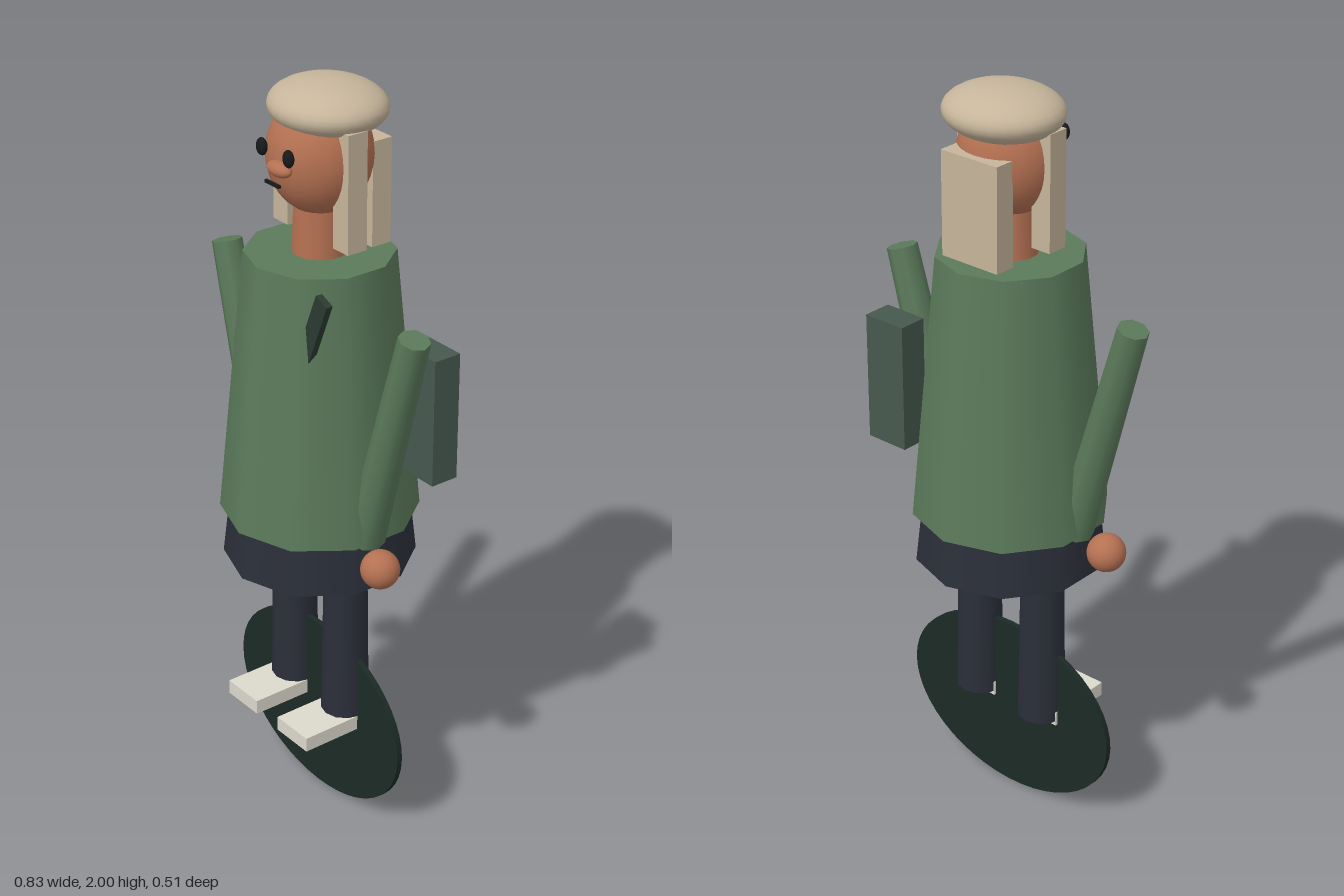
import * as THREE from 'three';

const paint = (color) => new THREE.MeshStandardMaterial({ color });
const JACKET = paint(0x5b7a5b), TROUSERS = paint(0x2b2f39), SKIN = paint(0xb57152);
const HAIR = paint(0xc6b59b), SHOE = paint(0xdcd9cc), STAND = paint(0x1c2a26);
const BAG = paint(0x46594f), DARK = paint(0x17191b), STRAP = paint(0x2b3a32);

export function createModel() {
  const model = new THREE.Group();
  model.name = 'figure';

  const add = (name, geometry, material, x, y, z) => {
    const mesh = new THREE.Mesh(geometry, material);
    mesh.name = name;
    mesh.position.set(x, y, z);
    model.add(mesh);
    return mesh;
  };
  const box = (name, mat, w, h, d, x, y, z) =>
    add(name, new THREE.BoxGeometry(w, h, d), mat, x, y, z);
  const ball = (name, mat, rx, ry, rz, x, y, z) =>
    add(name, new THREE.SphereGeometry(1, 28, 18).scale(rx, ry, rz), mat, x, y, z);
  // Upright tapered cylinder between two heights
  const taper = (name, mat, rTop, rBottom, y0, y1, sides, x = 0, z = 0) =>
    add(name, new THREE.CylinderGeometry(rTop, rBottom, y1 - y0, sides), mat, x, (y0 + y1) / 2, z);

  // Upright oval stand behind the feet
  const stand = add('stand', new THREE.CylinderGeometry(1, 1, 0.015, 48), STAND, 0, 0.253, 0);
  stand.rotation.x = Math.PI / 2;
  stand.scale.set(0.338, 1, 0.25);

  // Body
  taper('jacket', JACKET, 0.188, 0.255, 0.865, 1.57, 10);
  taper('hips', TROUSERS, 0.232, 0.248, 0.73, 0.87, 10);
  taper('neck', SKIN, 0.064, 0.071, 1.55, 1.72, 14);

  // Head, face and hat
  ball('head', SKIN, 0.132, 0.15, 0.13, 0, 1.82, 0);
  ball('hat', HAIR, 0.155, 0.066, 0.141, 0, 1.934, -0.024);
  ball('nose', SKIN, 0.041, 0.019, 0.022, 0.022, 1.816, 0.136);
  box('mouth', DARK, 0.055, 0.007, 0.008, 0.002, 1.774, 0.141);
  box('backHair', HAIR, 0.175, 0.27, 0.057, 0, 1.715, -0.12);

  // Mirrored parts
  for (const side of [1, -1]) {
    const tag = side > 0 ? 'left' : 'right';
    ball(tag + 'Eye', DARK, 0.017, 0.022, 0.012, side * 0.052, 1.849, 0.132);
    box(tag + 'Hair', HAIR, 0.057, 0.3, 0.057, side * 0.118, 1.76, 0.001);
    taper(tag + 'Leg', TROUSERS, 0.056, 0.064, 0.272, 0.76, 12, side * 0.108);
    box(tag + 'Shoe', SHOE, 0.125, 0.04, 0.19, side * 0.108, 0.28, 0.08);

    // Sleeve leaning outwards at the top
    const low = new THREE.Vector3(side * 0.203, 0.86, 0.012);
    const high = new THREE.Vector3(side * 0.374, 1.471, 0.01);
    const arm = add(tag + 'Arm', new THREE.CylinderGeometry(0.04, 0.05, low.distanceTo(high), 8), JACKET);
    arm.position.lerpVectors(low, high, 0.5);
    arm.quaternion.setFromUnitVectors(new THREE.Vector3(0, 1, 0), high.sub(low).normalize());
    ball(tag + 'Hand', SKIN, 0.05, 0.05, 0.05, side * 0.289, 0.817, 0.034);
  }

  // Shoulder bag and its strap
  box('bag', BAG, 0.122, 0.34, 0.078, 0.261, 1.19, -0.139);
  box('strap', STRAP, 0.045, 0.22, 0.018, 0.149, 1.437, 0.134).rotation.z = -0.39;

  return model;
}
